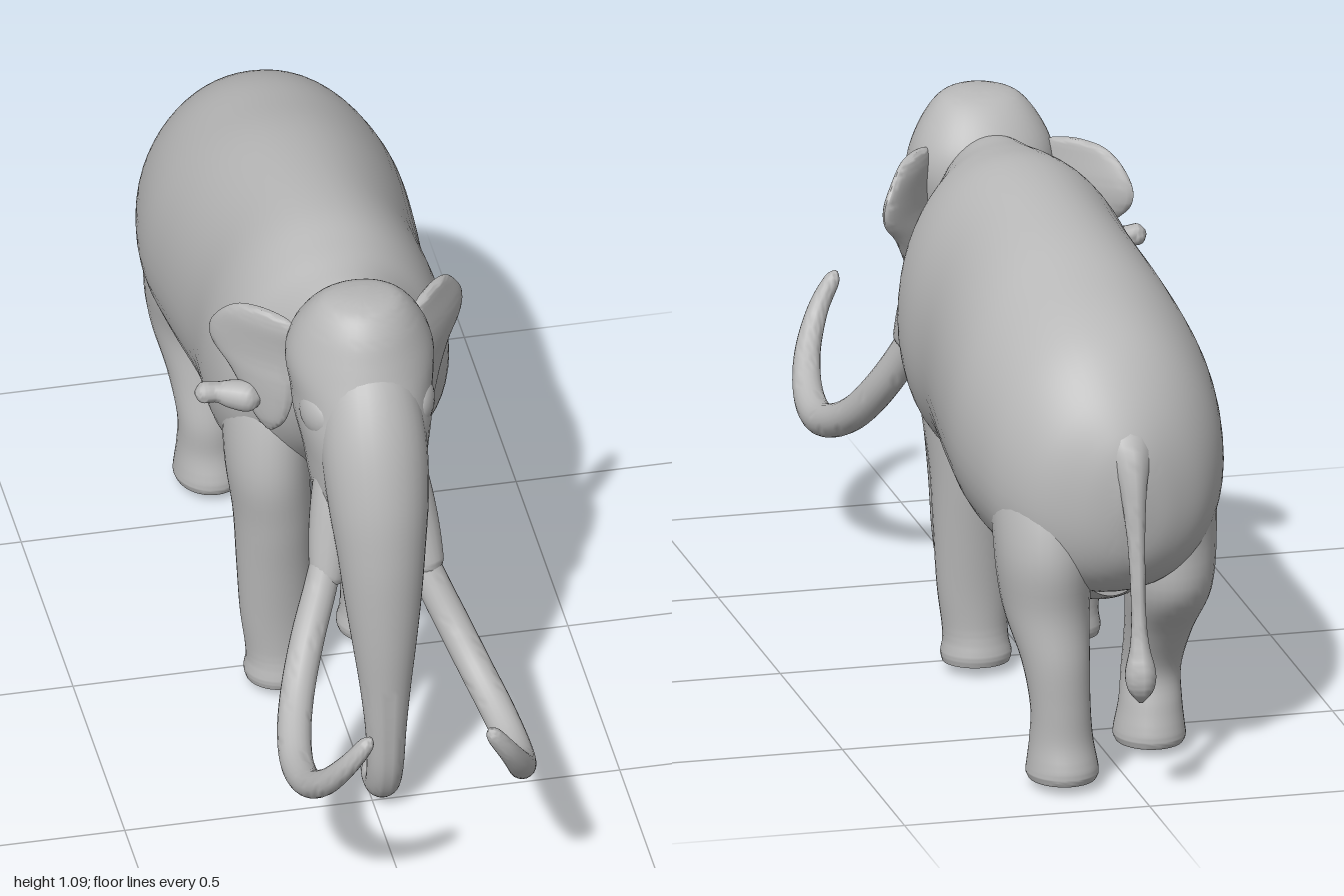
import * as THREE from 'three';
import { toCreasedNormals } from 'three/addons/utils/BufferGeometryUtils.js';

const hide = new THREE.MeshStandardMaterial({ color: 0xb8b8b8 });
hide.name = 'grey';

// Skin a list of rings (arrays of Vector3) and close both ends.
function skin(rings) {
  const n = rings[0].length, pos = [], idx = [];
  for (const ring of rings) for (const p of ring) pos.push(p.x, p.y, p.z);
  for (let i = 0; i < rings.length - 1; i++) {
    for (let j = 0; j < n; j++) {
      const a = i * n + j, b = i * n + (j + 1) % n;
      idx.push(a, b, a + n, b, b + n, a + n);
    }
  }
  const last = (rings.length - 1) * n;
  [rings[0], rings[rings.length - 1]].forEach((ring, end) => {
    const c = ring.reduce((s, p) => s.add(p), new THREE.Vector3()).divideScalar(n);
    const k = pos.length / 3;
    pos.push(c.x, c.y, c.z);
    for (let j = 0; j < n; j++) {
      const k2 = (j + 1) % n;
      if (end) idx.push(last + j, last + k2, k);
      else idx.push(k2, j, k);
    }
  });
  const g = new THREE.BufferGeometry();
  g.setAttribute('position', new THREE.Float32BufferAttribute(pos, 3));
  g.setIndex(idx);
  return toCreasedNormals(g, 1.0);
}

// Smoothly resample rows of numbers.
function resample(rows, steps) {
  const out = [], at = i => rows[Math.min(Math.max(i, 0), rows.length - 1)];
  for (let i = 0; i < rows.length - 1; i++) {
    for (let s = 0; s < steps; s++) {
      const t = s / steps;
      out.push(rows[i].map((_, k) => {
        const p0 = at(i - 1)[k], p1 = at(i)[k], p2 = at(i + 1)[k], p3 = at(i + 2)[k];
        const m1 = (p2 - p0) / 2, m2 = (p3 - p1) / 2;
        return p1 + m1 * t + (3 * (p2 - p1) - 2 * m1 - m2) * t * t + (2 * (p1 - p2) + m1 + m2) * t * t * t;
      }));
    }
  }
  out.push(rows[rows.length - 1]);
  return out;
}

// Rows are [x, y, z, halfWidth, halfDepth]; upright rings run back to front, flat rings top to bottom.
function loft(rows, { upright = false, egg = 0, power = 1, sides = 40, steps = 5 } = {}) {
  const bend = v => Math.sign(v) * Math.abs(v) ** power;
  return skin(resample(rows, steps).map(([x, y, z, a, b]) =>
    Array.from({ length: sides }, (_, j) => {
      const t = j / sides * Math.PI * 2, s = bend(Math.sin(t));
      const u = x + Math.max(a, 0.001) * bend(Math.cos(t)) * (1 - egg * s), v = Math.max(b, 0.001) * s;
      return upright ? new THREE.Vector3(u, y + v, z) : new THREE.Vector3(u, y, z + v);
    })));
}

// Tapered tube; rows are [x, y, z, radius].
function taper(rows, sides = 20, steps = 6) {
  const fine = resample(rows, steps), count = fine.length - 1;
  const curve = new THREE.CatmullRomCurve3(fine.map(r => new THREE.Vector3(r[0], r[1], r[2])));
  curve.getUtoTmapping = u => u;
  const { normals, binormals } = curve.computeFrenetFrames(count, false);
  return skin(fine.map((r, i) => Array.from({ length: sides }, (_, j) => {
    const t = j / sides * Math.PI * 2;
    return new THREE.Vector3(r[0], r[1], r[2])
      .addScaledVector(normals[i], Math.cos(t) * r[3])
      .addScaledVector(binormals[i], Math.sin(t) * r[3]);
  })));
}

export function createModel() {
  const model = new THREE.Group();
  const add = (name, geometry) => {
    const m = new THREE.Mesh(geometry, hide);
    m.name = name;
    model.add(m);
    return m;
  };

  // Torso with neck
  add('body', loft([
    [-0.005, 0.61, -0.912, 0.02, 0.04], [-0.005, 0.6, -0.893, 0.09, 0.125],
    [0, 0.607, -0.845, 0.17, 0.198], [0, 0.63, -0.77, 0.222, 0.252],
    [0, 0.655, -0.68, 0.25, 0.275], [0, 0.678, -0.55, 0.266, 0.29],
    [0, 0.702, -0.4, 0.258, 0.305], [0, 0.727, -0.2, 0.24, 0.311],
    [0, 0.735, -0.05, 0.243, 0.315], [0, 0.76, 0.05, 0.225, 0.28],
    [0, 0.795, 0.12, 0.175, 0.235], [0, 0.82, 0.2, 0.125, 0.2], [0, 0.82, 0.28, 0.1, 0.16],
  ], { upright: true, egg: 0.1, power: 0.95, sides: 56 }));

  // Lower belly hanging below the flanks
  add('belly', loft([
    [0, 0.43, -0.78, 0.06, 0.06], [0, 0.41, -0.66, 0.13, 0.08], [0, 0.42, -0.5, 0.16, 0.07],
    [0, 0.445, -0.3, 0.16, 0.06], [0, 0.47, -0.1, 0.12, 0.06], [0, 0.5, 0.02, 0.05, 0.04],
  ], { upright: true }));

  // Skull, narrowing toward the trunk
  add('head', loft([
    [0, 1.087, 0.305, 0.04, 0.035], [0, 1.075, 0.3, 0.078, 0.07], [0, 1.04, 0.295, 0.11, 0.105],
    [0, 0.99, 0.29, 0.136, 0.133], [0, 0.94, 0.295, 0.147, 0.15], [0, 0.88, 0.31, 0.14, 0.167],
    [0, 0.83, 0.325, 0.136, 0.175], [0, 0.76, 0.345, 0.122, 0.18], [0, 0.69, 0.36, 0.112, 0.175],
    [0, 0.64, 0.36, 0.1, 0.14], [0, 0.6, 0.365, 0.065, 0.08],
  ], { egg: 0.1 }));
  add('lowerJaw', taper([[0, 0.7, 0.28, 0.07], [0, 0.63, 0.36, 0.055], [0, 0.585, 0.4, 0.035], [0, 0.57, 0.415, 0.01]]));
  add('throat', taper([[0, 0.74, 0.18, 0.09], [0, 0.65, 0.2, 0.06], [0, 0.605, 0.205, 0.03], [0, 0.59, 0.205, 0.006]]));

  // Trunk, curling back at the tip
  add('trunk', taper([
    [0, 0.95, 0.325, 0.085], [0, 0.88, 0.379, 0.1], [0, 0.8, 0.422, 0.106], [0, 0.7, 0.463, 0.1],
    [0, 0.6, 0.491, 0.088], [0, 0.5, 0.508, 0.077], [0, 0.4, 0.522, 0.064], [0, 0.3, 0.531, 0.051],
    [0, 0.2, 0.536, 0.041], [0, 0.11, 0.53, 0.037], [0, 0.055, 0.508, 0.035], [0, 0.034, 0.475, 0.033],
    [0, 0.039, 0.45, 0.032], [0, 0.05, 0.432, 0.022], [0, 0.055, 0.427, 0.004],
  ], 32));

  for (const s of [1, -1]) {
    const side = s > 0 ? 'left' : 'right';

    // Tusk growing out of its socket
    add(side + 'TuskSocket', taper([
      [s * 0.05, 0.76, 0.36, 0.05], [s * 0.068, 0.68, 0.392, 0.052],
      [s * 0.086, 0.6, 0.42, 0.046], [s * 0.1, 0.53, 0.447, 0.036], [s * 0.104, 0.515, 0.453, 0.03],
    ]));
    const tusk = add(side + 'Tusk', taper([
      [s * 0.085, 0.58, 0.425, 0.03], [s * 0.112, 0.5, 0.462, 0.033], [s * 0.147, 0.42, 0.51, 0.034],
      [s * 0.18, 0.35, 0.575, 0.034], [s * 0.205, 0.305, 0.655, 0.034], [s * 0.218, 0.285, 0.745, 0.033],
      [s * 0.215, 0.305, 0.84, 0.03], [s * 0.196, 0.36, 0.92, 0.026], [s * 0.163, 0.43, 0.97, 0.021],
      [s * 0.13, 0.485, 0.986, 0.016], [s * 0.12, 0.503, 0.988, 0.004],
    ]));
    tusk.position.set(-0.005, s * -0.007, 0);

    // Brow above the eye
    const brow = add(side + 'Brow', new THREE.SphereGeometry(1, 20, 14));
    brow.scale.set(0.025, 0.045, 0.05);
    brow.position.set(s * 0.106, 0.865, 0.375);
    brow.rotation.y = s * -0.4;

    // Flat ear swept backward
    const ear = add(side + 'Ear', loft([
      [0.06, 1.0, 0, 0.02, 0.005], [0.062, 0.992, 0, 0.062, 0.011], [0.074, 0.965, 0, 0.088, 0.016],
      [0.09, 0.92, 0.004, 0.103, 0.019], [0.088, 0.88, 0.004, 0.1, 0.019], [0.068, 0.84, 0, 0.078, 0.018],
      [0.054, 0.79, -0.002, 0.056, 0.016], [0.05, 0.745, -0.002, 0.035, 0.013], [0.05, 0.718, 0, 0.01, 0.005],
    ], { sides: 28 }));
    ear.position.set(s * 0.125 - 0.004, 0, 0.235);
    ear.rotation.y = s > 0 ? 0.9 : Math.PI - 0.78;

    // Front leg, the right one a step ahead
    const f = s > 0 ? -0.06 : 0.06, o = -0.01;
    add(side + 'FrontLeg', loft([
      [s * 0.11, 0.84, -0.04, 0.06, 0.07], [s * 0.128, 0.7, -0.025 + f * 0.3, 0.085, 0.12],
      [s * 0.128 + o, 0.55, f * 0.7, 0.084, 0.11], [s * 0.12 + o, 0.42, f * 0.95, 0.078, 0.088],
      [s * 0.117 + o, 0.3, f, 0.075, 0.071], [s * 0.113 + o, 0.18, f, 0.072, 0.06], [s * 0.109 + o, 0.1, f, 0.066, 0.058],
      [s * 0.107 + o, 0.065, f, 0.066, 0.062], [s * 0.106 + o, 0.038, f, 0.071, 0.068], [s * 0.106 + o, 0.02, f, 0.067, 0.064],
    ], { sides: 32 }));

    // Hind leg, the left one trailing
    const h = s > 0 ? -0.82 : -0.63;
    const mid = s > 0 ? -0.76 : -0.7;
    const knee = s > 0 ? -0.81 : -0.66;
    add(side + 'HindLeg', loft([
      [s * 0.1, 0.74, -0.68, 0.06, 0.07], [s * 0.12, 0.62, -0.7, 0.1, 0.13],
      [s * 0.133, 0.48, mid + 0.01, 0.098, 0.125], [s * 0.132, 0.36, mid - 0.005, 0.086, 0.105],
      [s * 0.124, 0.26, knee, 0.068, 0.073], [s * 0.118, 0.17, h - s * 0.005, 0.06, 0.06], [s * 0.115, 0.1, h, 0.063, 0.067],
      [s * 0.113, 0.05, h, 0.07, 0.08], [s * 0.113, 0.03, h, 0.072, 0.082], [s * 0.113, 0.018, h, 0.067, 0.077],
    ], { sides: 32 }));
  }

  // Curled flap on the right ear
  add('earFlap', taper([
    [-0.18, 0.79, 0.195, 0.01], [-0.2, 0.79, 0.188, 0.03], [-0.235, 0.793, 0.175, 0.029],
    [-0.265, 0.797, 0.168, 0.021], [-0.295, 0.8, 0.168, 0.021], [-0.308, 0.802, 0.168, 0.006],
  ], 16));

  // Tail with tuft
  add('tail', taper([
    [-0.01, 0.72, -0.8, 0.07], [-0.01, 0.69, -0.86, 0.054], [-0.01, 0.64, -0.902, 0.03],
    [-0.01, 0.56, -0.925, 0.02], [-0.01, 0.48, -0.94, 0.016], [-0.01, 0.38, -0.952, 0.015],
    [-0.01, 0.32, -0.96, 0.02], [-0.01, 0.27, -0.966, 0.031], [-0.01, 0.235, -0.97, 0.026], [-0.01, 0.208, -0.97, 0.005],
  ], 16));

  // The animal's midline sits slightly off centre
  model.children.forEach(m => { m.position.x += 0.02; });
  return model;
}
